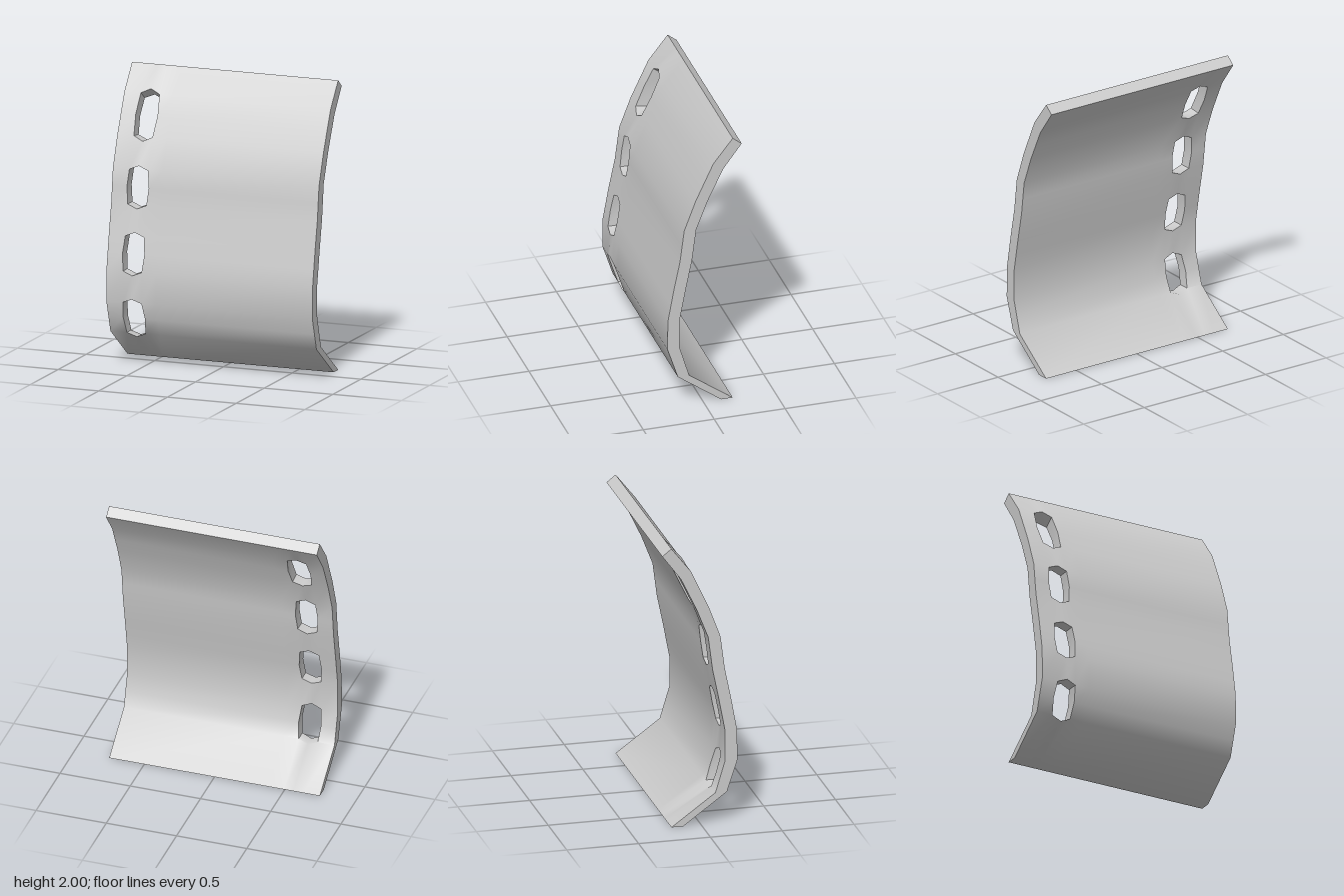
import * as THREE from 'three';
import { toCreasedNormals } from 'three/addons/utils/BufferGeometryUtils.js';

// Side profile, bottom to top: [front y, front z, back y, back z]
const profile = [
  [0, -0.125, 0, -0.207],
  [0.222, 0.18, 0.222, 0.10],
  [0.445, 0.253, 0.445, 0.167],
  [0.66, 0.25, 0.66, 0.167],
  [0.895, 0.208, 0.895, 0.123],
  [1.105, 0.165, 1.105, 0.08],
  [1.34, 0.135, 1.34, 0.05],
  [1.555, 0.055, 1.545, -0.03],
  [1.825, -0.07, 1.775, -0.14],
  [2.0, -0.207, 1.95, -0.27],
];
const columns = [-0.75, -0.63, -0.562, -0.495, -0.39, 0.75];
const LAST_COL = columns.length - 2;

// Rows of the grid: every hole band gets an extra middle row
const rows = [];
profile.forEach((p, k) => {
  const hole = k % 2 === 1 && k < 9; // band from k to k + 1 holds a hole
  const next = profile[k + 1];
  const prev = profile[k - 1];
  if (hole) {
    rows.push({ p, tip: -1, slope: next.map((v, n) => v - p[n]) });
    rows.push({ p: p.map((v, n) => (v + next[n]) / 2), mid: true });
  } else if (k > 0 && k < 9) {
    rows.push({ p, tip: 1, slope: p.map((v, n) => v - prev[n]) });
  } else rows.push({ p });
});

// Grid point on the front (side 0) or back (side 2) face
function point(i, j, side) {
  const { p, tip, slope, mid } = rows[i];
  let x = columns[j], y = p[side], z = p[side + 1];
  if (mid && j === 1) x -= 0.012;
  if (mid && j === 3) x += 0.012;
  if (tip && j === 2) { // pointed end of a hole continues its slope
    y += tip * slope[side] * 0.115;
    z += tip * slope[side + 1] * 0.115;
  }
  return [x, y, z];
}

// True where a grid cell is filled, false in holes and outside the panel
function solid(i, j) {
  if (i < 0 || j < 0 || i > rows.length - 2 || j > LAST_COL) return false;
  const inHoleBand = rows[i].mid || rows[i + 1].mid;
  return !(inHoleBand && (j === 1 || j === 2));
}

function panelGeometry() {
  const pos = [];
  const quad = (a, b, c, d) => pos.push(...a, ...b, ...c, ...a, ...c, ...d);
  for (let i = 0; i < rows.length - 1; i++) {
    for (let j = 0; j <= LAST_COL; j++) {
      if (!solid(i, j)) continue;
      const corners = [[i, j], [i, j + 1], [i + 1, j + 1], [i + 1, j]];
      const f = corners.map(([r, c]) => point(r, c, 0));
      const b = corners.map(([r, c]) => point(r, c, 2));
      quad(f[0], f[1], f[2], f[3]);
      quad(b[3], b[2], b[1], b[0]);
      // Close the thickness wherever the neighbouring cell is empty
      [[i - 1, j], [i, j + 1], [i + 1, j], [i, j - 1]].forEach(([r, c], n) => {
        if (solid(r, c)) return;
        const m = (n + 1) % 4;
        quad(f[n], b[n], b[m], f[m]);
      });
    }
  }
  const geometry = new THREE.BufferGeometry();
  geometry.setAttribute('position', new THREE.Float32BufferAttribute(pos, 3));
  return toCreasedNormals(geometry, THREE.MathUtils.degToRad(50));
}

export function createModel() {
  const group = new THREE.Group();
  group.name = 'curvedPanel';
  const panel = new THREE.Mesh(
    panelGeometry(),
    new THREE.MeshStandardMaterial({ color: 0xcccccc }),
  );
  panel.name = 'slottedPanel';
  group.add(panel);
  return group;
}
